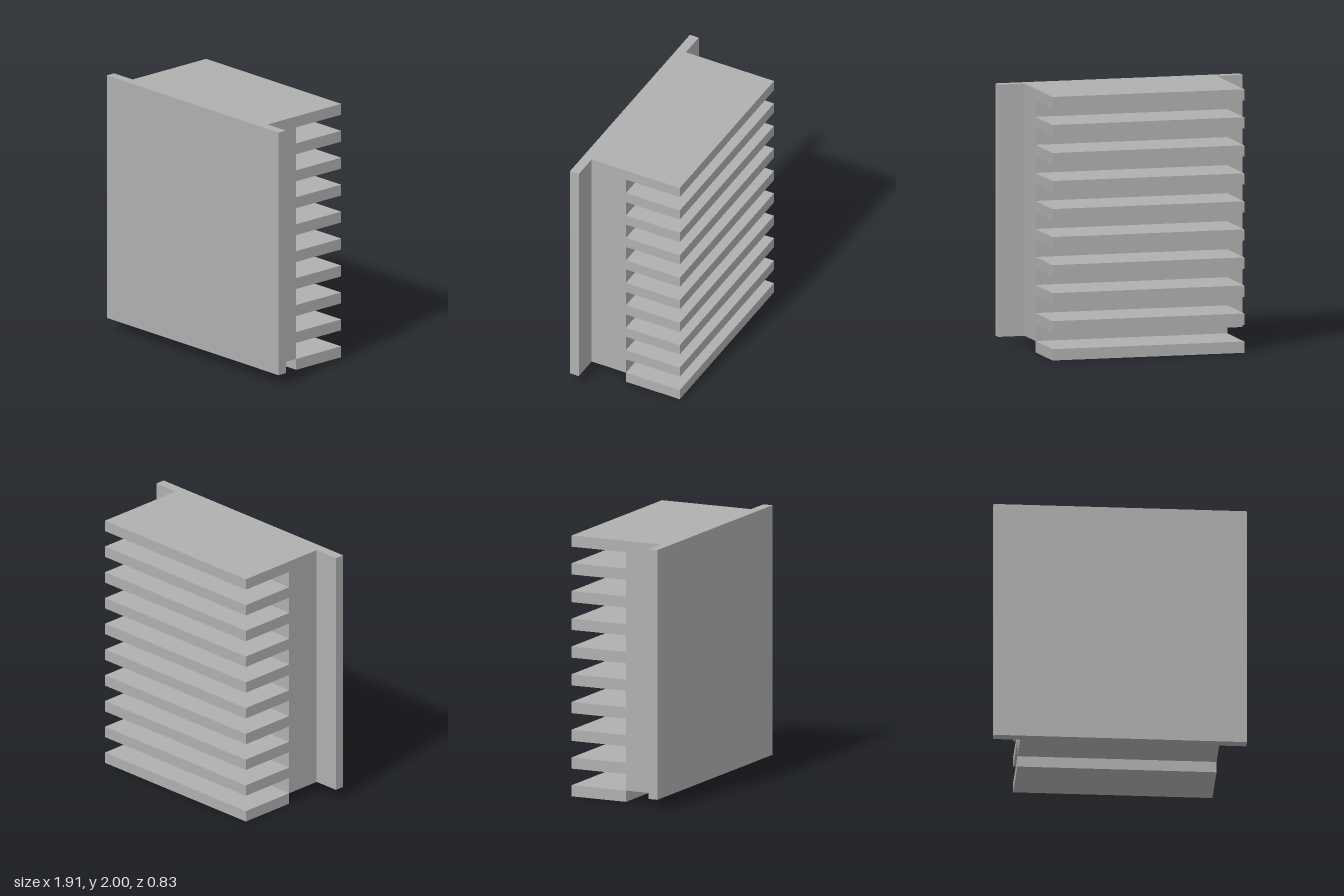
import * as THREE from 'three';

const FIN_COUNT = 10;
const FIN_THICKNESS = 0.086;
const HEIGHT = 2;
const HALF_WIDTH = 0.75;
const FLANGE_HALF_WIDTH = 0.955;
const FRONT = 0.413, FLANGE_BACK = 0.338, BODY_BACK = 0.046, FIN_BACK = -0.413;

export function createModel() {
  const model = new THREE.Group();
  model.name = 'heatSink';
  const metal = new THREE.MeshStandardMaterial({ color: 0xb0b0b0 });
  metal.name = 'grey metal';

  // Base block with side flanges: a T-shaped plan extruded upward, starting above the lowest fin
  const plan = new THREE.Shape([
    [-FLANGE_HALF_WIDTH, FRONT], [FLANGE_HALF_WIDTH, FRONT],
    [FLANGE_HALF_WIDTH, FLANGE_BACK], [HALF_WIDTH, FLANGE_BACK],
    [HALF_WIDTH, BODY_BACK], [-HALF_WIDTH, BODY_BACK],
    [-HALF_WIDTH, FLANGE_BACK], [-FLANGE_HALF_WIDTH, FLANGE_BACK],
  ].map(([x, z]) => new THREE.Vector2(x, -z)));
  const baseGeometry = new THREE.ExtrudeGeometry(plan, {
    depth: HEIGHT - FIN_THICKNESS, bevelEnabled: false,
  });
  baseGeometry.rotateX(-Math.PI / 2);
  const base = new THREE.Mesh(baseGeometry, metal);
  base.name = 'flangedBase';
  base.position.y = FIN_THICKNESS;
  model.add(base);

  // Evenly spaced cooling fins on the back
  const finGeometry = new THREE.BoxGeometry(HALF_WIDTH * 2, FIN_THICKNESS, BODY_BACK - FIN_BACK);
  const pitch = (HEIGHT - FIN_THICKNESS) / (FIN_COUNT - 1);
  for (let i = 0; i < FIN_COUNT; i++) {
    const fin = new THREE.Mesh(finGeometry, metal);
    fin.name = `fin${i + 1}`;
    fin.position.set(0, FIN_THICKNESS / 2 + i * pitch, (BODY_BACK + FIN_BACK) / 2);
    model.add(fin);
  }

  return model;
}
